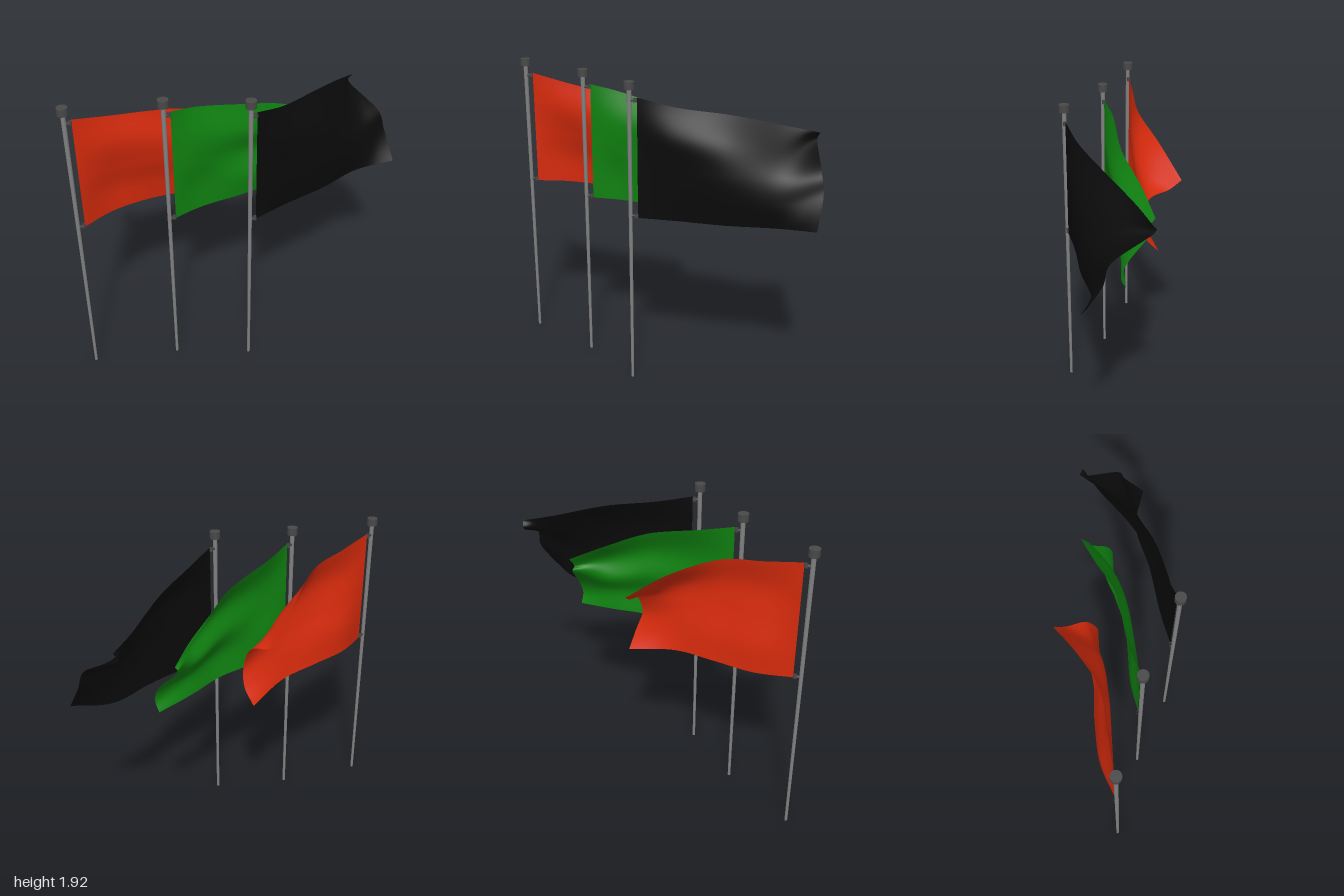
import * as THREE from 'three';

const poleMat = new THREE.MeshStandardMaterial({ color: 0x808080 });
const fittingMat = new THREE.MeshStandardMaterial({ color: 0x484848, side: THREE.DoubleSide });
const HOIST = 0.046; // gap from pole axis to cloth

// Each flag: pole position, inner cross-sections (x, top, bottom and
// depths from top to bottom) and the fly edge as points from top to bottom.
const redFlag = {
  name: 'redFlag', color: 0xd42a0c, x: -0.97, z: -0.285,
  sections: [
    { x: -0.7, top: 1.778, bottom: 1.09, depths: [-0.265, -0.24, -0.275, -0.315, -0.32] },
    { x: -0.45, top: 1.728, bottom: 1.085, depths: [-0.245, -0.195, -0.215, -0.265, -0.29] },
    { x: -0.18, top: 1.615, bottom: 1.058, depths: [-0.315, -0.185, -0.175, -0.2, -0.235] },
  ],
  fly: [[0.06, 1.455, -0.4], [0.065, 1.4, -0.32], [0.08, 1.36, -0.2],
    [0.07, 1.22, -0.135], [0.1, 1.1, -0.17], [0.11, 1.005, -0.255]],
};
const greenFlag = {
  name: 'greenFlag', color: 0x0f8010, x: -0.5, z: -0.02,
  sections: [
    { x: -0.25, top: 1.778, bottom: 1.09, depths: [-0.038, 0.012, 0.005, -0.018, -0.018] },
    { x: 0.08, top: 1.685, bottom: 1.087, depths: [-0.02, 0.045, 0.015, 0.06, 0.04] },
    { x: 0.35, top: 1.57, bottom: 1.078, depths: [-0.075, 0.02, -0.015, 0.045, 0.03] },
  ],
  fly: [[0.57, 1.46, -0.11], [0.565, 1.39, -0.06], [0.57, 1.36, -0.08],
    [0.6, 1.22, 0.05], [0.595, 1.12, 0.09], [0.595, 1.05, 0.06]],
};
const blackFlag = {
  name: 'blackFlag', color: 0x0a0a0a, x: -0.13, z: 0.285,
  sections: [
    { x: 0.15, top: 1.768, bottom: 1.09, depths: [0.245, 0.308, 0.305, 0.295, 0.28] },
    { x: 0.45, top: 1.722, bottom: 1.09, depths: [0.165, 0.28, 0.318, 0.318, 0.295] },
    { x: 0.75, top: 1.65, bottom: 1.093, depths: [0.055, 0.155, 0.26, 0.29, 0.285] },
  ],
  fly: [[0.95, 1.605, 0], [0.935, 1.55, -0.008], [0.98, 1.43, 0.22],
    [1, 1.3, 0.275], [0.98, 1.13, 0.395]],
};

function addMesh(group, name, geometry, material, x = 0, y = 0, z = 0) {
  const mesh = new THREE.Mesh(geometry, material);
  mesh.name = name;
  mesh.position.set(x, y, z);
  group.add(mesh);
  return mesh;
}

const smoothCurve = (points) => new THREE.CatmullRomCurve3(points, false, 'catmullrom');

// Upright curve through evenly spaced heights
function sectionCurve({ x, top, bottom, depths }) {
  return smoothCurve(depths.map((z, i) => new THREE.Vector3(
    x, THREE.MathUtils.lerp(top, bottom, i / (depths.length - 1)), z)));
}

// Cloth surface lofted from the straight hoist through the sections to the fly
function clothGeometry(flag, nu = 44, nv = 36) {
  const hoist = { x: flag.x + HOIST, top: 1.826, bottom: 1.093, depths: Array(5).fill(flag.z) };
  const curves = [hoist, ...flag.sections].map(sectionCurve);
  curves.push(smoothCurve(flag.fly.map((p) => new THREE.Vector3(...p))));
  const geometry = new THREE.PlaneGeometry(1, 1, nu, nv);
  const pos = geometry.attributes.position;
  for (let j = 0; j <= nv; j++) {
    const row = smoothCurve(curves.map((curve) => curve.getPoint(j / nv)));
    for (let i = 0; i <= nu; i++) {
      const p = row.getPoint(i / nu);
      pos.setXYZ(j * (nu + 1) + i, p.x, p.y, p.z);
    }
  }
  geometry.computeVertexNormals();
  return geometry;
}

function buildPole(flag) {
  const pole = new THREE.Group();
  pole.name = 'flagpole';
  pole.position.set(flag.x, 0, flag.z);
  // Tapered shaft
  addMesh(pole, 'shaft', new THREE.CylinderGeometry(0.0135, 0.009, 1.88, 20), poleMat, 0, 0.94);
  // Drum cap
  addMesh(pole, 'cap', new THREE.CylinderGeometry(0.032, 0.032, 0.045, 24), fittingMat, 0, 1.895);
  // Clips holding the two hoist corners: a stud and an upright sleeve
  for (const y of [1.81, 1.105]) {
    const stud = addMesh(pole, 'clipStud',
      new THREE.CylinderGeometry(0.009, 0.009, 0.018, 12), fittingMat, 0.018, y);
    stud.rotation.z = Math.PI / 2;
    addMesh(pole, 'clipSleeve',
      new THREE.CylinderGeometry(0.012, 0.012, 0.022, 20, 1, true), fittingMat, 0.036, y);
  }
  return pole;
}

export function createModel() {
  const model = new THREE.Group();
  model.name = 'threeFlags';
  for (const flag of [redFlag, greenFlag, blackFlag]) {
    model.add(buildPole(flag));
    const cloth = new THREE.MeshStandardMaterial({ color: flag.color, side: THREE.DoubleSide });
    addMesh(model, flag.name, clothGeometry(flag), cloth);
  }
  return model;
}
